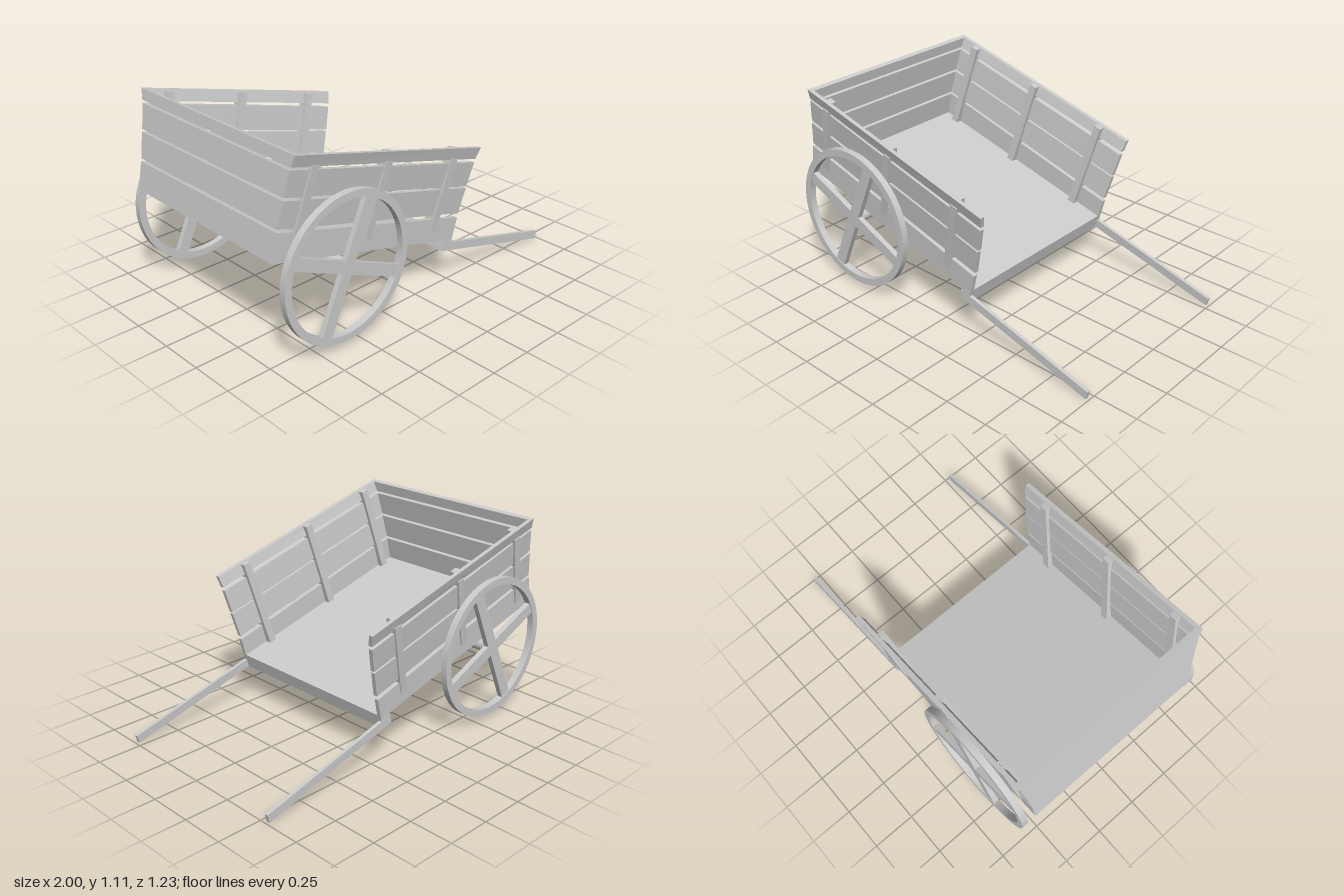
import * as THREE from 'three';
import { toCreasedNormals } from 'three/addons/utils/BufferGeometryUtils.js';

const grey = new THREE.MeshStandardMaterial({ color: 0xcccccc });

function add(parent, name, geometry) {
  const mesh = new THREE.Mesh(geometry, grey);
  mesh.name = name;
  parent.add(mesh);
  return mesh;
}

// Six-sided board: four outer corners in order, pushed by an offset for thickness
function board(corners, offset) {
  let quad = corners.map((c) => new THREE.Vector3(...c));
  const push = new THREE.Vector3(...offset);
  const normal = quad[1].clone().sub(quad[0]).cross(quad[2].clone().sub(quad[0]));
  if (normal.dot(push) > 0) quad.reverse();
  const p = [...quad, ...quad.map((v) => v.clone().add(push))];
  const faces = [[0, 1, 2, 3], [7, 6, 5, 4]];
  for (let i = 0; i < 4; i++) {
    const j = (i + 1) % 4;
    faces.push([j, i, i + 4, j + 4]);
  }
  const points = faces.flatMap(([a, b, c, d]) => [a, b, c, a, c, d].map((i) => p[i]));
  const geometry = new THREE.BufferGeometry().setFromPoints(points);
  geometry.computeVertexNormals();
  return geometry;
}

function box(parent, name, x0, x1, y0, y1, z0, z1) {
  const mesh = add(parent, name, new THREE.BoxGeometry(x1 - x0, y1 - y0, z1 - z0));
  mesh.position.set((x0 + x1) / 2, (y0 + y1) / 2, (z0 + z1) / 2);
}

function makeWheel() {
  const wheel = new THREE.Group();
  wheel.name = 'wheel';
  const depth = 0.038;
  const ring = new THREE.Shape().absarc(0, 0, 0.4, 0, Math.PI * 2);
  ring.holes.push(new THREE.Path().absarc(0, 0, 0.36, 0, Math.PI * 2, true));
  const rim = new THREE.ExtrudeGeometry(ring, { depth, bevelEnabled: false, curveSegments: 48 });
  rim.translate(0, 0, -depth / 2);
  add(wheel, 'rim', toCreasedNormals(rim, 0.6));
  for (const turn of [0, Math.PI / 2]) {
    add(wheel, 'spoke', new THREE.BoxGeometry(0.735, 0.065, 0.03)).rotation.z = turn;
  }
  wheel.rotation.z = -0.41;
  return wheel;
}

export function createModel() {
  const cart = new THREE.Group();
  cart.name = 'cart';

  // Body, tipped forward so the handles rest on the ground
  const body = new THREE.Group();
  body.name = 'body';
  body.position.set(-1, 0.59, 0);
  body.rotation.z = -0.253;
  cart.add(body);

  box(body, 'floor', 0.01, 1.268, 0, 0.018, -0.53, 0.53);
  box(body, 'frontBeam', 1.205, 1.268, -0.062, 0.012, -0.53, 0.53);

  // Plank rows: rear bottom/top, front bottom/top, outer half width bottom/top
  const rows = [
    [0, 0.152, 0, 0.125, 0.545, 0.55],
    [0.168, 0.307, 0.148, 0.295, 0.548, 0.565],
    [0.322, 0.455, 0.305, 0.442, 0.564, 0.582],
    [0.47, 0.529, 0.463, 0.529, 0.585, 0.603],
  ];
  const rearX = (y) => -0.06 * y;

  for (const [r0, r1, f0, f1, w0, w1] of rows) {
    for (const s of [1, -1]) {
      add(body, 'sidePlank', board([
        [rearX(r0), r0, s * w0], [1.268, f0, s * w0],
        [1.268, f1, s * w1], [rearX(r1), r1, s * w1],
      ], [0, 0, -s * 0.024]));
    }
    const a = w0 - 0.002, b = w1 - 0.002;
    add(body, 'backPlank', board([
      [rearX(r0) - 0.002, r0, -a], [rearX(r0) - 0.002, r0, a],
      [rearX(r1) - 0.002, r1, b], [rearX(r1) - 0.002, r1, -b],
    ], [0.028, 0, 0]));
  }

  for (const s of [1, -1]) {
    // Leaning posts inside and tapering battens outside the planks
    for (const x of [0.113, 0.595, 1.085]) {
      const h = 0.022;
      add(body, 'innerPost', board([
        [x - h, 0.015, s * 0.52], [x + h, 0.015, s * 0.52],
        [x + h, 0.525, s * 0.578], [x - h, 0.525, s * 0.578],
      ], [0, 0, -s * 0.033]));
      add(body, 'outerBatten', board([
        [x - h, 0.06, s * 0.552], [x + h, 0.06, s * 0.552],
        [x + h, 0.475, s * 0.594], [x - h, 0.475, s * 0.594],
      ], [0, 0, -s * 0.025]));
    }
    // Handle with the stepped block where it meets the body
    box(body, 'handleBlock', 1.205, 1.268, -0.062, 0.01, s * 0.536 - 0.01, s * 0.536 + 0.01);
    add(body, 'handle', board([
      [1.205, -0.062, s * 0.547], [2.067, -0.071, s * 0.547],
      [2.067, -0.024, s * 0.547], [1.205, -0.015, s * 0.547],
    ], [0, 0, -s * 0.02]));

    const wheel = makeWheel();
    wheel.position.set(-0.59, 0.44, s * 0.597);
    cart.add(wheel);
  }

  // Axle beneath the floor
  const axle = add(cart, 'axle', new THREE.CylinderGeometry(0.037, 0.037, 1.17, 24));
  axle.rotation.x = Math.PI / 2;
  axle.position.set(-0.59, 0.44, 0);

  return cart;
}
